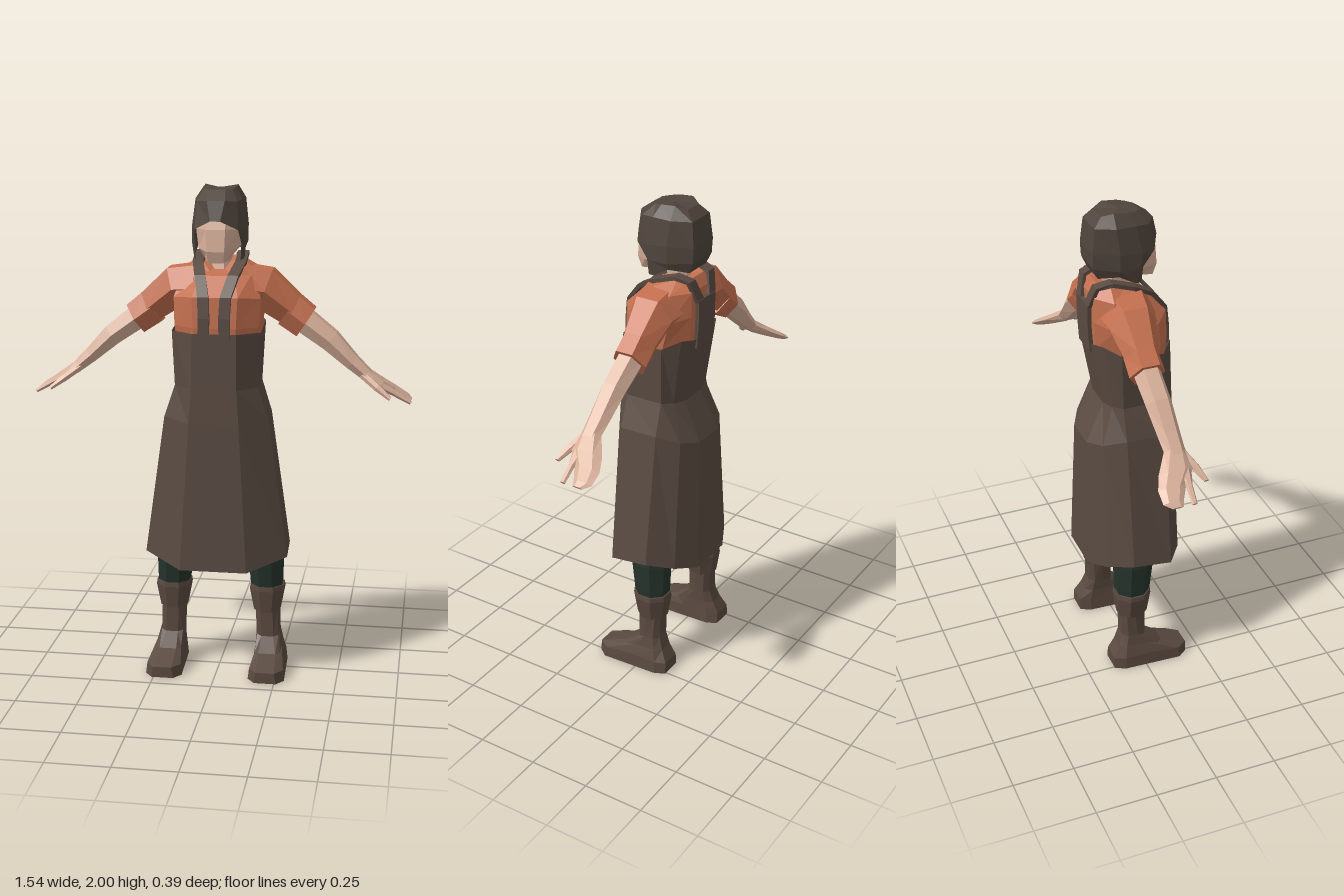
import * as THREE from 'three';

const mat = (color, side = THREE.FrontSide) =>
  new THREE.MeshStandardMaterial({ color, flatShading: true, side });
const APRON = mat(0x5a4b42, THREE.DoubleSide);
const HAIR = mat(0x50453d, THREE.DoubleSide);
const SHIRT = mat(0xc4704f);
const SKIN = mat(0xd8b09a);
const TROUSERS = mat(0x26332c);
const BOOT = mat(0x5a4a40);

// Skins a list of cross-sections; caps the ends and turns the faces outward
function loft(rings, { caps = true, closed = true } = {}) {
  const n = rings[0].length, pos = rings.flat(2), idx = [];
  const seg = closed ? n : n - 1;
  for (let r = 0; r < rings.length - 1; r++)
    for (let i = 0; i < seg; i++) {
      const a = r * n + i, b = r * n + (i + 1) % n;
      idx.push(a, b, b + n, a, b + n, a + n);
    }
  if (caps) for (const r of [0, rings.length - 1]) {
    const c = pos.length / 3;
    for (let k = 0; k < 3; k++) pos.push(rings[r].reduce((s, p) => s + p[k], 0) / n);
    for (let i = 0; i < n; i++) {
      const a = r * n + i, b = r * n + (i + 1) % n;
      idx.push(...(r === 0 ? [c, b, a] : [c, a, b]));
    }
  }
  const mid = new THREE.Vector3();
  const v = i => new THREE.Vector3(pos[3 * i], pos[3 * i + 1], pos[3 * i + 2]).sub(mid);
  const count = pos.length / 3;
  const sum = new THREE.Vector3();
  for (let i = 0; i < count; i++) sum.add(v(i));
  mid.copy(sum.divideScalar(count));
  let vol = 0;
  for (let i = 0; i < idx.length; i += 3) vol += v(idx[i]).dot(v(idx[i + 1]).cross(v(idx[i + 2])));
  if (vol < 0) idx.reverse();
  const g = new THREE.BufferGeometry();
  g.setAttribute('position', new THREE.Float32BufferAttribute(pos, 3));
  g.setIndex(idx);
  const flat = g.toNonIndexed();
  flat.computeVertexNormals();
  return flat;
}

// Full cross-section from its +x half, listed front to back
const ring = (half, cx = 0) => [
  ...half.map(([x, y, z]) => [cx + x, y, z]),
  ...[...half].reverse().map(([x, y, z]) => [cx - x, y, z]),
];

// Limb section: centre, half height, half depth in z, downward tilt in degrees
const limb = (rows, sides = 6) => rows.map(([x, y, z, h, w, tilt]) => {
  const t = THREE.MathUtils.degToRad(tilt);
  return Array.from({ length: sides }, (_, i) => {
    const a = (i + 0.5) / sides * Math.PI * 2;
    const u = Math.cos(a) * h / Math.cos(Math.PI / sides);
    return [x + Math.sin(t) * u, y + Math.cos(t) * u, z + Math.sin(a) * w];
  });
});

// Horizontal section: centre, height, half width, half depth
const column = (rows, sides = 8) => rows.map(([x, y, z, w, d]) =>
  Array.from({ length: sides }, (_, i) => {
    const a = (i + 0.5) / sides * Math.PI * 2;
    return [x + Math.cos(a) * w * 1.06, y, z + Math.sin(a) * d * 1.06];
  }));

// Flat strap of half width w following a path in front of or behind the body
const strap = (path, w, t = 0.008) => path.map(([x, y, z], i) => {
  const a = path[Math.max(i - 1, 0)], b = path[Math.min(i + 1, path.length - 1)];
  const l = Math.hypot(b[1] - a[1], b[2] - a[2]);
  const ny = -(b[2] - a[2]) / l * t, nz = (b[1] - a[1]) / l * t;
  return [[x - w, y + ny, z + nz], [x + w, y + ny, z + nz], [x + w, y - ny, z - nz], [x - w, y - ny, z - nz]];
});

export function createModel() {
  const model = new THREE.Group();
  model.name = 'apronFigure';
  const add = (name, rings, material, opts) => {
    const m = new THREE.Mesh(loft(rings, opts), material);
    m.name = name;
    model.add(m);
  };
  const pair = (name, rings, material) => {
    add(name + 'Left', rings, material);
    add(name + 'Right', rings.map(r => r.map(([x, y, z]) => [-x, y, z])), material);
  };

  // Apron: open tube flaring from the waist to the hem
  add('apron', [
    [[0.087, 1.44, 0.165], [0.177, 1.44, 0.10], [0.177, 1.46, -0.07], [0.13, 1.49, -0.13], [0.07, 1.48, -0.155]],
    [[0.09, 1.22, 0.173], [0.167, 1.22, 0.095], [0.165, 1.22, -0.06], [0.12, 1.21, -0.09], [0.06, 1.20, -0.105]],
    [[0.10, 1.08, 0.178], [0.21, 1.09, 0.10], [0.205, 1.09, -0.06], [0.15, 1.06, -0.14], [0.07, 1.04, -0.182]],
    [[0.135, 0.475, 0.197], [0.29, 0.52, 0.10], [0.285, 0.535, -0.06], [0.20, 0.50, -0.145], [0.10, 0.47, -0.195]],
  ].map(h => ring(h)), APRON, { caps: false });

  // Shirt body with a collar that dips at the front
  add('shirt', [
    [[0.08, 1.36, 0.145], [0.155, 1.36, 0.08], [0.155, 1.36, -0.06], [0.07, 1.36, -0.11]],
    [[0.085, 1.46, 0.152], [0.168, 1.46, 0.09], [0.168, 1.46, -0.07], [0.08, 1.46, -0.14]],
    [[0.09, 1.58, 0.143], [0.172, 1.57, 0.08], [0.172, 1.57, -0.10], [0.09, 1.58, -0.15]],
    [[0.07, 1.655, 0.07], [0.14, 1.675, 0.025], [0.15, 1.675, -0.09], [0.08, 1.675, -0.145]],
    [[0.035, 1.665, 0.03], [0.07, 1.705, -0.01], [0.075, 1.72, -0.08], [0.045, 1.715, -0.12]],
  ].map(h => ring(h)), SHIRT);

  // Sleeves with turned-up cuffs
  pair('sleeve', limb([
    [0.09, 1.605, -0.02, 0.085, 0.115, 5],
    [0.185, 1.595, -0.03, 0.082, 0.095, 18],
    [0.29, 1.51, -0.035, 0.063, 0.068, 36],
  ]), SHIRT);
  pair('sleeveCuff', limb([
    [0.275, 1.515, -0.035, 0.07, 0.07, 36],
    [0.343, 1.465, -0.035, 0.065, 0.072, 33],
  ]), SHIRT);

  // Arms, hands, index fingers and thumbs
  pair('arm', limb([
    [0.31, 1.49, -0.035, 0.05, 0.055, 36],
    [0.44, 1.395, -0.03, 0.042, 0.052, 40],
    [0.53, 1.31, -0.025, 0.03, 0.045, 40],
    [0.60, 1.25, -0.022, 0.022, 0.04, 38],
  ]), SKIN);
  pair('hand', limb([
    [0.575, 1.27, -0.022, 0.022, 0.042, 38],
    [0.645, 1.22, -0.045, 0.02, 0.068, 34],
    [0.695, 1.19, -0.08, 0.015, 0.055, 34],
    [0.745, 1.162, -0.095, 0.01, 0.04, 34],
    [0.765, 1.15, -0.085, 0.006, 0.022, 34],
  ]), SKIN);
  pair('indexFinger', limb([
    [0.64, 1.222, -0.012, 0.015, 0.03, 34],
    [0.70, 1.188, -0.015, 0.011, 0.014, 34],
    [0.765, 1.15, -0.02, 0.007, 0.011, 34],
  ]), SKIN);
  pair('thumb', limb([
    [0.57, 1.265, -0.005, 0.015, 0.022, 34],
    [0.63, 1.222, 0.032, 0.014, 0.02, 34],
    [0.685, 1.182, 0.06, 0.008, 0.01, 34],
  ]), SKIN);

  // Apron straps over the shoulders and the panel joining them at the back
  pair('apronStrap', strap([
    [0.042, 1.42, 0.164], [0.04, 1.50, 0.162], [0.044, 1.58, 0.152], [0.065, 1.655, 0.09],
    [0.085, 1.70, 0.01], [0.085, 1.73, -0.08], [0.07, 1.715, -0.135], [0.04, 1.63, -0.158],
  ], 0.022), APRON);
  add('backPanel', strap([[0, 1.64, -0.158], [0, 1.54, -0.157], [0, 1.44, -0.15]], 0.06), APRON);

  // Neck and head
  add('neck', column([[0, 1.63, -0.03, 0.05, 0.055], [0, 1.70, -0.04, 0.042, 0.045], [0, 1.80, -0.04, 0.045, 0.05]]), SKIN);
  add('head', [
    [[0.03, 1.71, 0.112], [0.05, 1.725, 0.06], [0.045, 1.745, -0.03], [0.03, 1.75, -0.08]],
    [[0.035, 1.755, 0.126], [0.074, 1.765, 0.07], [0.085, 1.77, -0.03], [0.05, 1.77, -0.11]],
    [[0.038, 1.84, 0.118], [0.082, 1.84, 0.075], [0.092, 1.85, -0.03], [0.055, 1.85, -0.125]],
    [[0.04, 1.93, 0.09], [0.07, 1.93, 0.05], [0.08, 1.93, -0.03], [0.05, 1.93, -0.11]],
  ].map(h => ring(h)), SKIN);

  // Hair: crown with an arched fringe, then the bob around sides and back
  const fringe = [[0.02, 1.873, 0.13], [0.085, 1.838, 0.095], [0.105, 1.84, 0.04], [0.108, 1.85, -0.05], [0.07, 1.85, -0.145]];
  add('hairCrown', [
    [[0.03, 1.988, 0.055], [0.055, 1.99, 0.03], [0.065, 1.995, 0], [0.065, 2.0, -0.06], [0.04, 1.985, -0.10]],
    [[0.035, 1.95, 0.108], [0.08, 1.945, 0.075], [0.093, 1.95, 0.02], [0.096, 1.95, -0.06], [0.062, 1.95, -0.135]],
    fringe,
  ].map(h => ring(h)), HAIR, { caps: false });
  add('hairTop', [
    [[0.03, 1.988, 0.055], [0.055, 1.99, 0.03], [0.065, 1.995, 0], [0.065, 2.0, -0.06], [0.04, 1.985, -0.10]],
    [[0.028, 1.975, 0.05], [0.05, 1.975, 0.03], [0.06, 1.975, 0], [0.06, 1.975, -0.06], [0.038, 1.975, -0.09]],
  ].map(h => ring(h)), HAIR);
  add('hairBob', [
    fringe.slice(1),
    [[0.092, 1.78, 0.048], [0.106, 1.78, 0.03], [0.106, 1.78, -0.05], [0.068, 1.79, -0.142]],
    [[0.088, 1.715, 0.042], [0.1, 1.72, 0.015], [0.096, 1.755, -0.05], [0.06, 1.745, -0.122]],
  ].map(h => ring(h)), HAIR, { caps: false, closed: false });

  // Trousers and tall boots with folded tops
  pair('trouserLeg', column([
    [0.195, 0.30, -0.035, 0.06, 0.06], [0.195, 0.36, -0.035, 0.066, 0.07],
    [0.19, 0.50, -0.028, 0.073, 0.08], [0.165, 0.68, -0.02, 0.075, 0.085], [0.10, 1.0, 0, 0.085, 0.09],
  ]), TROUSERS);
  pair('bootTop', column([
    [0.197, 0.245, -0.037, 0.055, 0.062], [0.197, 0.34, -0.037, 0.073, 0.075], [0.197, 0.36, -0.037, 0.07, 0.073],
  ]), BOOT);
  pair('boot', [
    [[0.045, 0, 0.19], [0.075, 0, 0.15], [0.07, 0, 0.03], [0.065, 0, -0.09], [0.045, 0, -0.135]],
    [[0.038, 0.045, 0.19], [0.07, 0.045, 0.145], [0.065, 0.055, 0.03], [0.06, 0.05, -0.09], [0.04, 0.05, -0.135]],
    [[0.035, 0.085, 0.08], [0.052, 0.085, 0.06], [0.055, 0.10, 0.01], [0.052, 0.10, -0.08], [0.03, 0.10, -0.108]],
    [[0.025, 0.135, 0.012], [0.045, 0.14, 0], [0.05, 0.15, -0.03], [0.048, 0.15, -0.07], [0.025, 0.15, -0.09]],
    [[0.025, 0.26, 0.012], [0.045, 0.26, -0.005], [0.052, 0.26, -0.04], [0.045, 0.26, -0.075], [0.025, 0.26, -0.09]],
  ].map((h, i) => ring(h, [0.213, 0.213, 0.208, 0.202, 0.198][i])), BOOT);

  return model;
}
